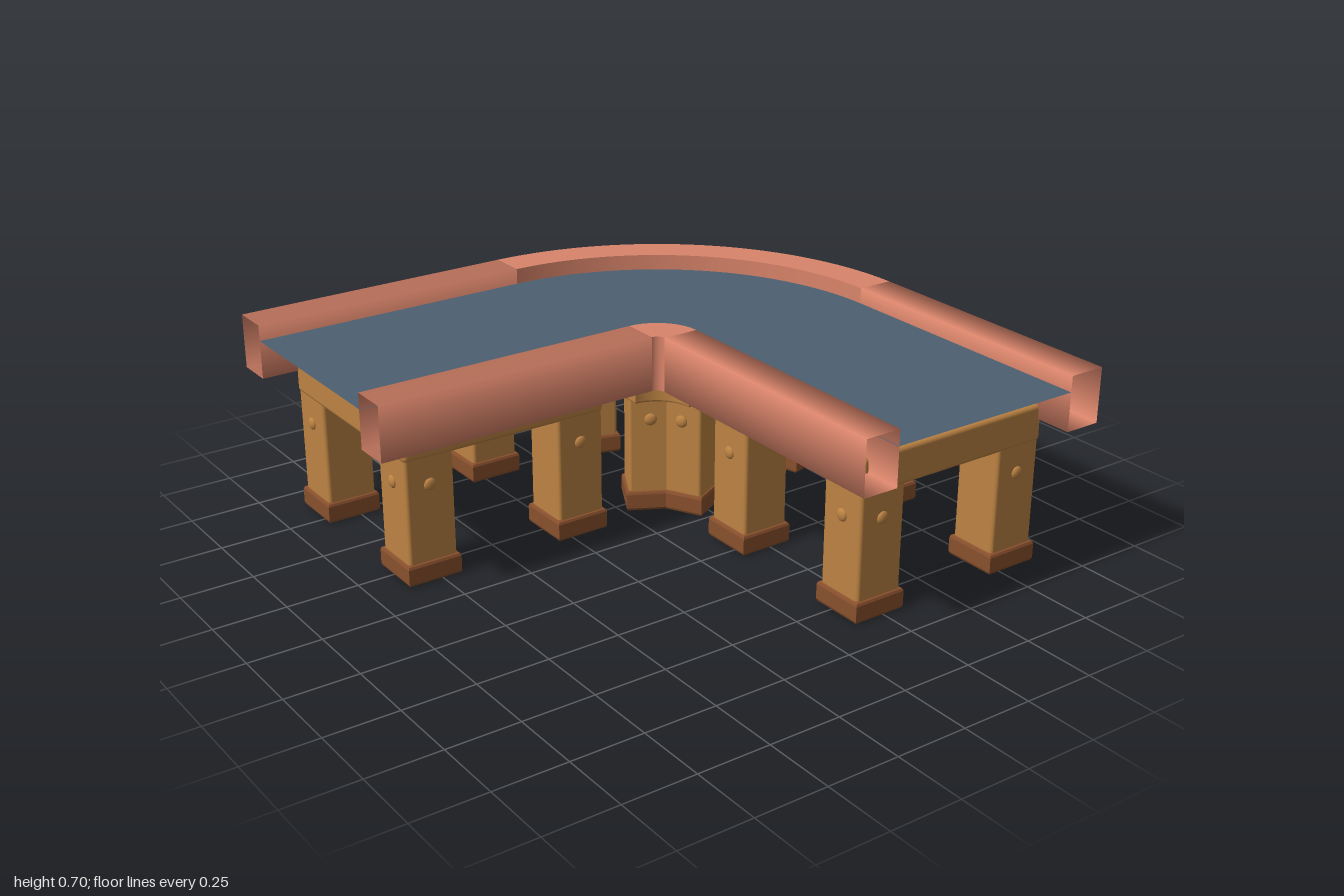
import * as THREE from 'three';
import { RoundedBoxGeometry } from 'three/addons/geometries/RoundedBoxGeometry.js';

const mat = (name, color, side = THREE.FrontSide) => {
  const m = new THREE.MeshStandardMaterial({ color, side });
  m.name = name;
  return m;
};
const railMat = mat('terracotta rail', 0xd9846a, THREE.DoubleSide);
const beltMat = mat('slate belt', 0x4d6070, THREE.DoubleSide);
const woodMat = mat('oak wood', 0xbd8343);
const footMat = mat('dark wood', 0x89502d);

const RAIL_BOTTOM = 0.515, RAIL_TOP = 0.705, BELT_Y = 0.65;

function add(parent, name, geometry, material, x = 0, y = 0, z = 0) {
  const mesh = new THREE.Mesh(geometry, material);
  mesh.name = name;
  mesh.position.set(x, y, z);
  parent.add(mesh);
  return mesh;
}

const box = (w, h, d, r = 0.012) => new RoundedBoxGeometry(w, h, d, 2, r);

// Stations along the L-shaped track: each maps a radius to [x, z]
const trackStart = r => [-1, -r];
const trackEnd = r => [r, 1];
const bend = Array.from({ length: 33 }, (_, i) => {
  const a = (i / 32) * Math.PI / 2;
  return r => [r * Math.sin(a), -r * Math.cos(a)];
});

// Sweeps a strip of [radius, y] points along the stations
function sweep(stations, profile) {
  const pos = [], index = [], n = profile.length;
  for (const at of stations) {
    for (const [r, y] of profile) {
      const [x, z] = at(r);
      pos.push(x, y, z);
    }
  }
  for (let s = 0; s < stations.length - 1; s++) {
    for (let p = 0; p < n - 1; p++) {
      const a = s * n + p, b = a + n;
      index.push(a, a + 1, b + 1, a, b + 1, b);
    }
  }
  const g = new THREE.BufferGeometry();
  g.setAttribute('position', new THREE.Float32BufferAttribute(pos, 3));
  g.setIndex(index);
  g.computeVertexNormals();
  return g;
}

// Open-ended square tube of length 1 along z, softly shaded across its corners
function squareTube(width, height) {
  const g = new THREE.CylinderGeometry(Math.SQRT1_2, Math.SQRT1_2, 1, 4, 1, true);
  return g.rotateY(Math.PI / 4).rotateX(Math.PI / 2).scale(width, height, 1);
}

// Hollow rail with open ends: two straight tubes joined by a bend
function rail(name, inner, outer) {
  const group = new THREE.Group();
  group.name = name;
  const mid = (inner + outer) / 2, midY = (RAIL_BOTTOM + RAIL_TOP) / 2;
  const tube = squareTube(outer - inner, RAIL_TOP - RAIL_BOTTOM);
  add(group, 'sideStraightRail', tube, railMat, mid, midY, 0.5);
  add(group, 'backStraightRail', tube, railMat, -0.5, midY, -mid).rotation.y = Math.PI / 2;
  // Bend: one strip per face so the edges stay sharp
  const corners = [[outer, RAIL_BOTTOM], [outer, RAIL_TOP], [inner, RAIL_TOP], [inner, RAIL_BOTTOM]];
  corners.forEach((c, i) => add(group, 'bendRail', sweep(bend, [c, corners[(i + 1) % 4]]), railMat));
  return group;
}

function squarePath(path, h) {
  return path.moveTo(-h, -h).lineTo(h, -h).lineTo(h, h).lineTo(-h, h).closePath();
}

// Square collar around the bottom of a post
function footGeometry(width) {
  const b = 0.012, shape = squarePath(new THREE.Shape(), width / 2 - b);
  shape.holes.push(squarePath(new THREE.Path(), width / 2 - 0.03));
  const g = new THREE.ExtrudeGeometry(shape, {
    depth: 0.075 - 2 * b, bevelEnabled: true, bevelSize: b, bevelThickness: b, bevelSegments: 2,
  });
  return g.rotateX(-Math.PI / 2).translate(0, b + 0.004, 0);
}

// Leg with a dark foot; bolts is a list of directions in degrees about y
function leg(name, x, z, turn, bolts, width = 0.175) {
  const group = new THREE.Group();
  group.name = name;
  group.position.set(x, 0, z);
  group.rotation.y = turn;
  add(group, 'post', box(width, 0.53, width), woodMat, 0, 0.28, 0);
  add(group, 'foot', footGeometry(width + 0.018), footMat);
  for (const deg of bolts) {
    const a = THREE.MathUtils.degToRad(deg);
    const d = width / 2;
    add(group, 'bolt', new THREE.SphereGeometry(0.022, 12, 8), woodMat, d * Math.cos(a), 0.345, -d * Math.sin(a))
      .scale.set(1 - 0.5 * Math.abs(Math.cos(a)), 1, 1 - 0.5 * Math.abs(Math.sin(a)));
  }
  return group;
}

// Four-legged square frame under a straight arm
function trestle(name, x, z) {
  const group = new THREE.Group();
  group.name = name;
  group.position.set(x, 0, z);
  const c = 0.284, span = 0.751, thick = 0.17, cb = (span - thick) / 2;
  for (const sx of [-1, 1]) {
    for (const sz of [-1, 1]) {
      group.add(leg('leg', sx * c, sz * c, 0, [sx > 0 ? 0 : 180, sz > 0 ? 270 : 90]));
    }
    add(group, 'crossBeam', box(span, 0.13, thick, 0.016), woodMat, 0, 0.5, sx * cb);
    add(group, 'sideBeam', box(thick, 0.13, span, 0.016), woodMat, sx * cb, 0.5, 0);
  }
  return group;
}

// Solid quarter-ring plate with legs under the bend
function bendSupport() {
  const group = new THREE.Group();
  group.name = 'bendSupport';
  const rIn = 0.145, rOut = 0.877, e = 0.016, b = 0.008;
  const aIn = Math.asin(e / rIn), aOut = Math.asin(e / rOut);
  const shape = new THREE.Shape();
  shape.absarc(0, 0, rOut, aOut, Math.PI / 2 - aOut, false);
  shape.absarc(0, 0, rIn, Math.PI / 2 - aIn, aIn, true);
  shape.closePath();
  const plate = new THREE.ExtrudeGeometry(shape, {
    depth: 0.122 - 2 * b, bevelEnabled: true, bevelSize: b, bevelThickness: b, bevelSegments: 2, curveSegments: 32,
  });
  plate.rotateX(-Math.PI / 2);
  add(group, 'bendPlate', plate, woodMat, 0, 0.428 + b, 0);
  // Legs mirrored across the diagonal
  const mirrored = (name, x, z, degrees, bolts, width) => {
    const t = THREE.MathUtils.degToRad(degrees);
    group.add(leg(name, x, -z, t, bolts, width));
    group.add(leg(name, z, -x, Math.PI / 2 - t, bolts, width));
  };
  mirrored('outerBendLeg', 0.75, 0.217, 16.5, [0], 0.172);
  mirrored('innerBendLeg', 0.23, 0.124, 28, [180], 0.15);
  return group;
}

export function createModel() {
  const model = new THREE.Group();
  model.name = 'curvedConveyor';

  // Flat belt following the whole track
  add(model, 'belt', sweep([trackStart, ...bend, trackEnd], [[0.872, BELT_Y], [0.155, BELT_Y]]), beltMat);

  model.add(rail('outerRail', 0.87, 1));
  model.add(rail('innerRail', 0.03, 0.158));

  model.add(trestle('sideTrestle', 0.513, 0.495));
  model.add(trestle('backTrestle', -0.495, -0.513));
  model.add(bendSupport());
  return model;
}
